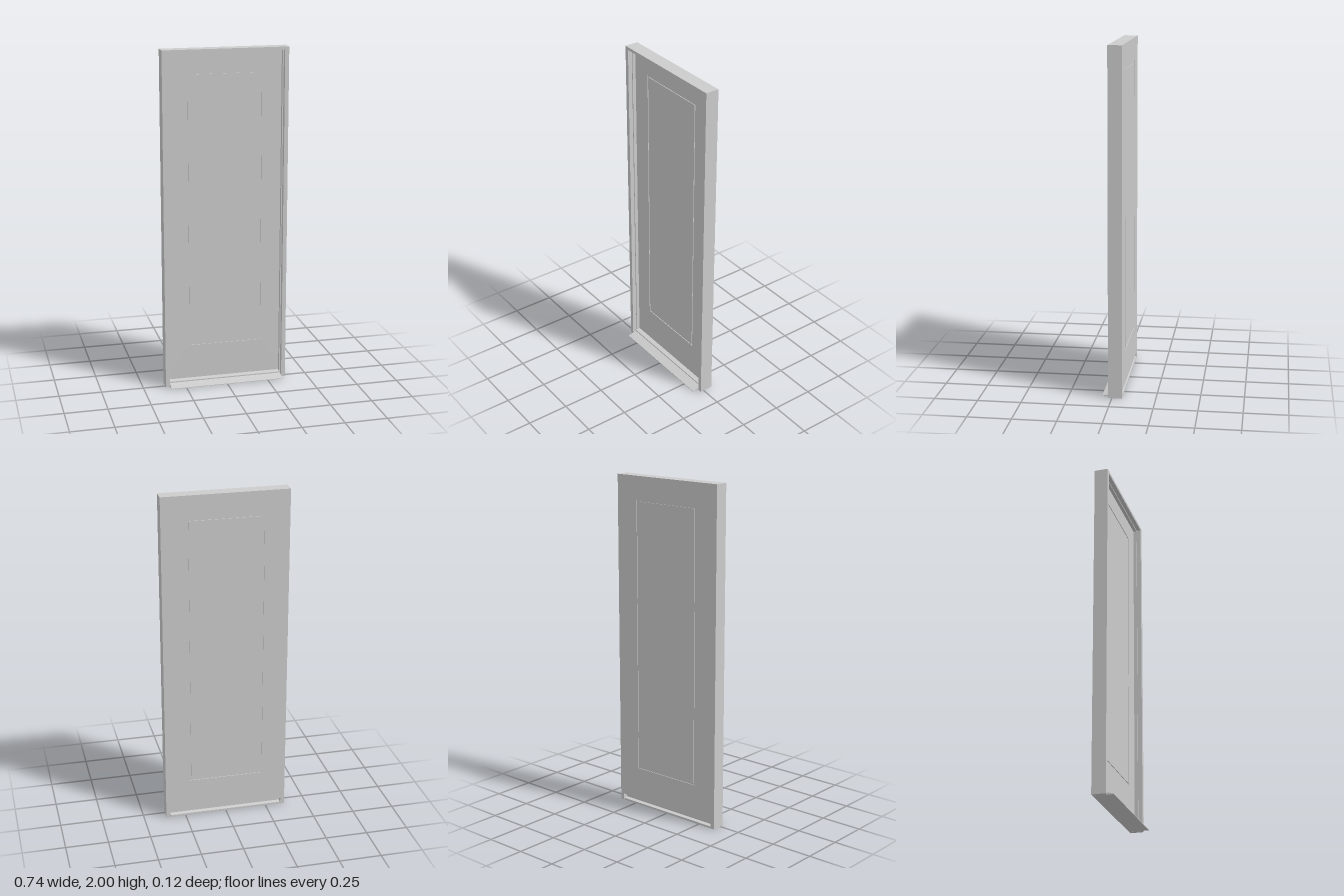
import * as THREE from 'three';

const BACK = -0.0585, FRONT = 0.0215, FACE = -0.024; // frame back, frame front, leaf front
const material = new THREE.MeshStandardMaterial({ color: 0xcccccc });

function rectPoints(w, y0, y1) {
  return [[-w, y0], [w, y0], [w, y1], [-w, y1]].map(([x, y]) => new THREE.Vector2(x, y));
}

// Rectangle of half width w, optionally with a rectangular hole, between two depths
function plate(name, outer, hole, z0, z1) {
  const shape = new THREE.Shape(rectPoints(...outer));
  if (hole) shape.holes.push(new THREE.Path(rectPoints(...hole).reverse()));
  return slab(name, shape, z0, z1);
}

function slab(name, shape, z0, z1) {
  const geo = new THREE.ExtrudeGeometry(shape, { depth: z1 - z0, bevelEnabled: false });
  geo.translate(0, 0, z0);
  const mesh = new THREE.Mesh(geo, material);
  mesh.name = name;
  return mesh;
}

// Two jambs and a head in one inverted U
function surround(name, outer, top, inner, innerTop, z0, z1) {
  const pts = [[-outer, 0], [-inner, 0], [-inner, innerTop], [inner, innerTop],
    [inner, 0], [outer, 0], [outer, top], [-outer, top]];
  return slab(name, new THREE.Shape(pts.map(([x, y]) => new THREE.Vector2(x, y))), z0, z1);
}

export function createModel() {
  const door = new THREE.Group();
  door.name = 'door';

  // Outer frame with a slim stop that the leaf closes against
  const frame = new THREE.Group();
  frame.name = 'frame';
  frame.add(surround('jambsAndHead', 0.368, 2, 0.344, 1.983, BACK, FRONT));
  frame.add(surround('doorStop', 0.344, 1.983, 0.338, 1.977, FACE, -0.004));
  door.add(frame);

  // Leaf: a core with grooved skins outlining the centre panel on both faces
  const leaf = new THREE.Group();
  leaf.name = 'leaf';
  const depth = 0.004, bottom = 0.04;
  leaf.add(plate('core', [0.344, bottom, 1.983], null, BACK + depth, FACE - depth));
  for (const [side, z0, z1] of [['front', FACE - depth, FACE], ['back', BACK, BACK + depth]]) {
    leaf.add(plate(side + 'Skin', [0.344, bottom, 1.983], [0.222, 0.236, 1.864], z0, z1));
    leaf.add(plate(side + 'Panel', [0.212, 0.246, 1.854], null, z0, z1));
  }
  door.add(leaf);

  // Threshold: sloping sill with an upstand below the leaf, extruded across the opening
  const profile = [[0.0585, 0], [0.0585, 0.003], [FRONT, 0.013], [0.004, 0.018], [0.004, 0.025],
    [FACE, 0.03], [FACE, 0.042], [-0.036, 0.042], [-0.036, 0.016], [BACK, 0.012], [BACK, 0]];
  const sill = slab('threshold', new THREE.Shape(profile.map(([z, y]) => new THREE.Vector2(-z, y))), -0.341, 0.341);
  sill.geometry.rotateY(Math.PI / 2);
  door.add(sill);

  return door;
}
